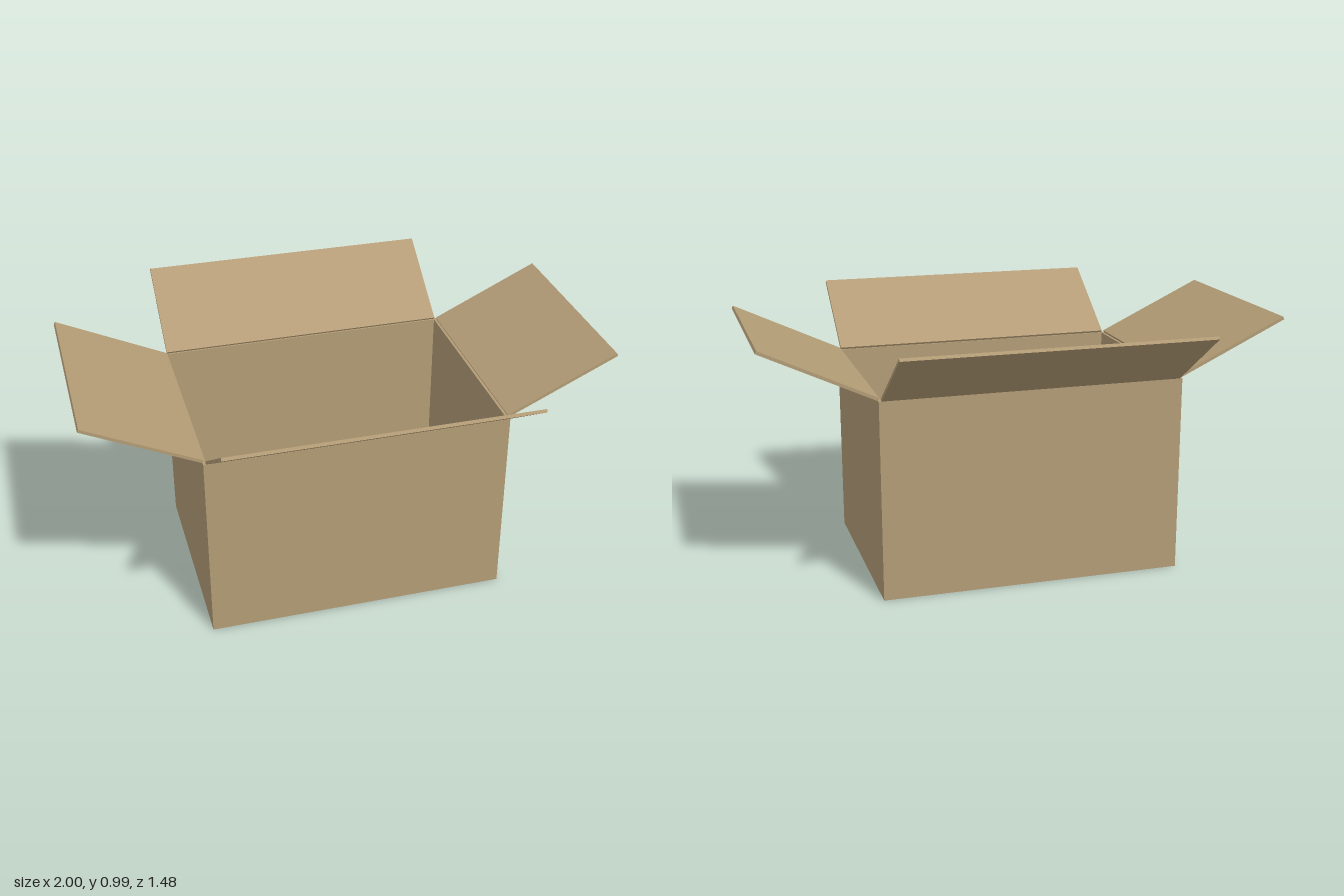
import * as THREE from 'three';

const W = 1.16, D = 0.84, H = 0.76, T = 0.012;

export function createModel() {
  const model = new THREE.Group();
  model.name = 'openBox';
  const cardboard = new THREE.MeshStandardMaterial({ color: 0xb39c76 });
  cardboard.name = 'cardboard';

  function panel(name, w, h, d, x, y, z, parent = model) {
    const mesh = new THREE.Mesh(new THREE.BoxGeometry(w, h, d), cardboard);
    mesh.name = name;
    mesh.position.set(x, y, z);
    parent.add(mesh);
    return mesh;
  }

  // Flap lying along its local +x, tilted up about a hinge and turned outward
  function flap(name, length, width, tilt, turn, hx, hy, hz) {
    const hinge = new THREE.Group();
    hinge.name = name + 'Hinge';
    hinge.position.set(hx, hy, hz);
    hinge.rotation.set(0, turn, tilt, 'YXZ');
    panel(name, length, T, width, length / 2, 0, 0, hinge);
    model.add(hinge);
  }

  // Floor
  panel('floor', W - 2 * T, T, D - 2 * T, 0, T / 2, 0);

  for (const s of [1, -1]) {
    // Walls: front and back run the full width, sides fit between them
    panel(s > 0 ? 'frontWall' : 'backWall', W, H, T, 0, H / 2, s * (D - T) / 2);
    panel(s > 0 ? 'leftWall' : 'rightWall', T, H, D - 2 * T, s * (W - T) / 2, H / 2, 0);

    // Open flaps
    flap(s > 0 ? 'leftFlap' : 'rightFlap', 0.465, 0.81, 0.442,
      s > 0 ? 0 : Math.PI, s * 0.577, 0.764, 0);
    flap(s > 0 ? 'frontFlap' : 'backFlap', 0.393, 1.14, 0.6,
      -s * Math.PI / 2, 0, 0.763, s * 0.413);
  }
  return model;
}
